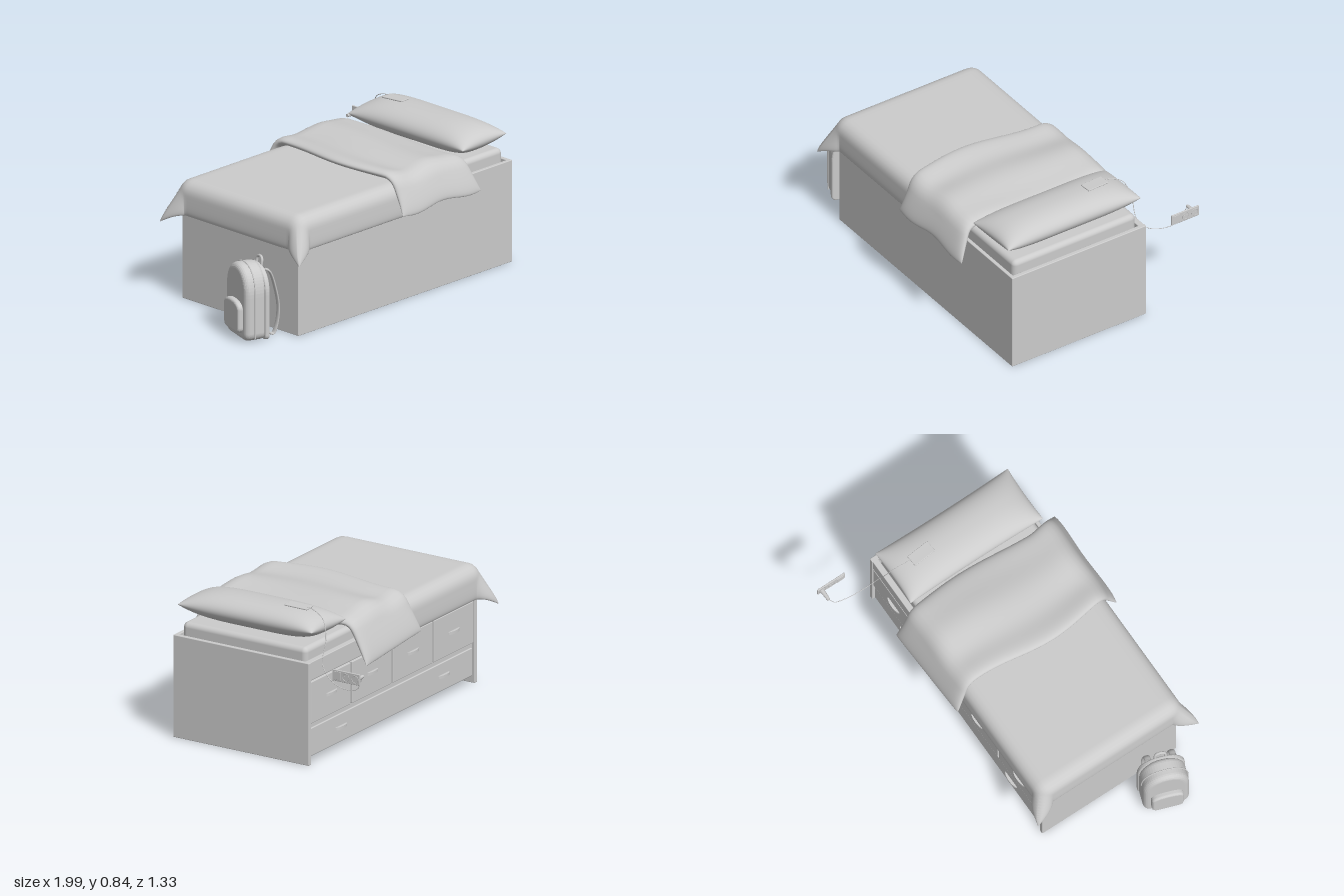
import * as THREE from 'three';
import { mergeVertices } from 'three/addons/utils/BufferGeometryUtils.js';
import { RoundedBoxGeometry } from 'three/addons/geometries/RoundedBoxGeometry.js';

const V = (x, y, z) => new THREE.Vector3(x, y, z);
const grey = new THREE.MeshStandardMaterial({ color: 0xcccccc, side: THREE.DoubleSide });

function add(parent, name, geometry, x = 0, y = 0, z = 0) {
  const mesh = new THREE.Mesh(geometry, grey);
  mesh.name = name;
  mesh.position.set(x, y, z);
  parent.add(mesh);
  return mesh;
}

// Box given by its limits, with slightly softened edges
function block(parent, name, [x0, x1], [y0, y1], [z0, z1], r = 0.004) {
  const g = new RoundedBoxGeometry(x1 - x0, y1 - y0, z1 - z0, 3, r);
  return add(parent, name, g, (x0 + x1) / 2, (y0 + y1) / 2, (z0 + z1) / 2);
}

function tube(parent, name, points, r, seg = 40) {
  return add(parent, name, new THREE.TubeGeometry(new THREE.CatmullRomCurve3(points), seg, r, 8));
}

// Closed padded sheet: a mid-surface f(u,v) pushed out both ways by half(u,v), zero at the border
function padded(f, half, n = 64) {
  const pos = [], idx = [], e = 0.002;
  const ease = i => 0.5 - 0.5 * Math.cos(Math.PI * i / n);
  for (const side of [1, -1]) {
    const base = pos.length / 3;
    for (let j = 0; j <= n; j++) for (let i = 0; i <= n; i++) {
      const u = ease(i), v = ease(j);
      const du = f(u + e, v).sub(f(u - e, v)), dv = f(u, v + e).sub(f(u, v - e));
      const border = i === 0 || j === 0 || i === n || j === n;
      const p = f(u, v).addScaledVector(dv.cross(du).normalize(), border ? 0 : side * half(u, v));
      pos.push(p.x, p.y, p.z);
      if (i < n && j < n) {
        const a = base + j * (n + 1) + i, b = a + 1, c = a + n + 1, d = c + 1;
        if (side > 0) idx.push(a, c, b, b, c, d);
        else idx.push(a, b, c, b, d, c);
      }
    }
  }
  let g = new THREE.BufferGeometry();
  g.setAttribute('position', new THREE.Float32BufferAttribute(pos, 3));
  g.setIndex(idx);
  g = mergeVertices(g, 1e-5);
  g.computeVertexNormals();
  return g;
}

const puff = (power, t) => (u, v) => t * Math.sqrt(
  Math.max(0, (1 - Math.abs(2 * u - 1) ** power) * (1 - Math.abs(2 * v - 1) ** power)));

// How far cloth of length L past an edge reaches out and drops
function drape(L, r, maxAngle) {
  const a = Math.min(L / r, maxAngle), rest = L - r * a;
  return [r * Math.sin(a) + rest * Math.cos(maxAngle), r * (1 - Math.cos(a)) + rest * Math.sin(maxAngle)];
}

// Bed cover, draped over the foot and both sides with flared corners
function bedCover(u, v) {
  const L = 0.215, x0 = -0.64, z0 = -0.285, z1 = 0.515;
  const sx = x0 - L + u * (0.3 - x0 + L), sz = z0 - L + v * (z1 - z0 + 2 * L);
  const du = Math.max(0, x0 - sx), dv = Math.max(0, z0 - sz, sz - z1);
  const len = Math.hypot(du, dv), k = len ? 2 * Math.min(du, dv) / (du + dv) : 0;
  const [out, drop] = drape(len, 0.06, THREE.MathUtils.degToRad(87 - 30 * k));
  const cx = Math.max(sx, x0), cz = THREE.MathUtils.clamp(sz, z0, z1);
  if (!len) return V(cx, 0.675, cz);
  return V(cx - out * du / len, 0.675 - drop, cz + Math.sign(sz - 0.1) * out * dv / len);
}

// Thick folded blanket across the middle, with wavy edges
function foldedBlanket(u, v) {
  const z0 = -0.27, z1 = 0.51, back = 0.27 + 0.04 * u, front = 0.25 + 0.012 * Math.sin(9 * u);
  const s = z0 - back + v * (z1 - z0 + back + front);
  const over = Math.max(0, z0 - s, s - z1);
  const [out, drop] = drape(over, 0.08, 1.13);
  const left = 0.015 - 0.025 * Math.sin(7 * s + 0.1), right = 0.59 + 0.018 * Math.cos(6 * s) + 0.05 * Math.max(0, s - 0.45) / 0.3;
  const ripple = 0.012 * Math.cos(u * 11) * (1 - u * 0.5) + 0.005 * Math.sin(6 * s + 4 * u) - 0.03 * u ** 10;
  return V(left + u * (right - left), 0.722 - drop + ripple * (over ? Math.max(0, 1 - over / 0.12) : 1),
    THREE.MathUtils.clamp(s, z0, z1) + Math.sign(s - 0.1) * out);
}

function buildFrame(bed) {
  block(bed, 'headPanel', [0.96, 0.985], [0, 0.59], [-0.33, 0.555]);
  block(bed, 'footPanel', [-0.685, -0.66], [0, 0.59], [-0.33, 0.555]);
  block(bed, 'sidePanel', [-0.68, 0.98], [0, 0.59], [0.533, 0.555]);
  block(bed, 'drawerCarcass', [-0.67, 0.97], [0.04, 0.59], [-0.312, -0.292]);
  block(bed, 'topRail', [-0.67, 0.97], [0.485, 0.59], [-0.327, -0.3]);
  block(bed, 'mattressBase', [-0.67, 0.97], [0.47, 0.49], [-0.31, 0.54]);
  block(bed, 'mattress', [-0.65, 0.95], [0.49, 0.66], [-0.29, 0.52], 0.03);

  // Bow-shaped pull
  const bow = new THREE.Shape();
  bow.moveTo(-0.055, 0);
  bow.bezierCurveTo(-0.045, 0.022, 0.045, 0.022, 0.055, 0);
  const pull = new THREE.ExtrudeGeometry(bow, { depth: 0.016, bevelEnabled: false, curveSegments: 16 });
  pull.rotateX(-Math.PI / 2);
  const handle = (x, y, z) => add(bed, 'drawerHandle', pull, x, y - 0.008, z);

  const w = 1.62 / 4;
  for (let i = 0; i < 4; i++) {
    const x = -0.66 + i * w;
    block(bed, 'upperDrawer', [x + 0.006, x + w - 0.006], [0.235, 0.475], [-0.327, -0.305]);
    handle(x + w / 2, 0.36, -0.327);
  }
  block(bed, 'lowerDrawer', [-0.652, 0.952], [0.045, 0.205], [-0.32, -0.3]);
  for (const x of [-0.37, 0.65]) handle(x, 0.13, -0.32);
}

function archShape(w, h, r) {
  const s = new THREE.Shape();
  s.moveTo(-w / 2, 0.02);
  s.lineTo(-w / 2, h - r);
  s.bezierCurveTo(-w / 2, h - r * 0.35, -w * 0.3, h, 0, h);
  s.bezierCurveTo(w * 0.3, h, w / 2, h - r * 0.35, w / 2, h - r);
  s.lineTo(w / 2, 0.02);
  s.quadraticCurveTo(w / 2, 0, w / 2 - 0.02, 0);
  s.lineTo(-w / 2 + 0.02, 0);
  s.quadraticCurveTo(-w / 2, 0, -w / 2, 0.02);
  return s;
}

function arch(parent, name, w, h, r, depth, bevel, y, z) {
  const g = new THREE.ExtrudeGeometry(archShape(w - 2 * bevel, h - 2 * bevel, r), {
    depth: depth - 2 * bevel, bevelThickness: bevel, bevelSize: bevel, bevelSegments: 5, curveSegments: 14 });
  return add(parent, name, g, 0, y + bevel, z + bevel);
}

// Backpack, its pocket facing local +z
function buildBackpack(root) {
  const bag = new THREE.Group();
  bag.name = 'backpack';
  arch(bag, 'bagBody', 0.26, 0.425, 0.14, 0.13, 0.03, 0.005, -0.06);
  arch(bag, 'bagBackPanel', 0.27, 0.41, 0.14, 0.03, 0.01, 0.005, -0.075);
  arch(bag, 'bagPocket', 0.18, 0.18, 0.03, 0.05, 0.014, 0.05, 0.05);
  const zip = archShape(0.262, 0.425, 0.15).getPoints(12).map(p => V(p.x, p.y + 0.005, 0.015)).slice(1, 27);
  tube(bag, 'bagZip', zip, 0.004, 60);
  for (const s of [-1, 1]) {
    const strap = tube(bag, 'shoulderStrap', [V(0, 0.4, -0.07), V(0, 0.38, -0.1), V(0, 0.28, -0.135),
      V(0, 0.16, -0.155), V(0, 0.05, -0.14), V(0, 0.015, -0.12), V(0, 0.05, -0.07)], 0.007);
    strap.scale.x = 2.6;
    strap.position.x = s * 0.07;
  }
  tube(bag, 'carryLoop', [V(-0.03, 0.39, -0.07), V(-0.025, 0.44, -0.078), V(0, 0.45, -0.08),
    V(0.025, 0.44, -0.078), V(0.03, 0.39, -0.07)], 0.008, 24);
  bag.position.set(-0.87, 0, 0.345);
  bag.rotation.y = Math.atan2(-0.94, -0.33);
  root.add(bag);
}

// Wall socket with plug, cable and phone
function buildCharger(root) {
  const group = new THREE.Group();
  group.name = 'charger';
  block(group, 'socketPlate', [0.988, 0.997], [0.53, 0.595], [-0.67, -0.49], 0.003);
  for (const z of [-0.58, -0.64]) {
    for (const x of [0.986, 0.998]) {
      const ring = add(group, 'socketRing', new THREE.TorusGeometry(0.021, 0.002, 6, 28), x, 0.5625, z);
      ring.rotation.y = Math.PI / 2;
      for (const d of [-0.008, 0.008])
        block(group, 'socketHole', [x - 0.001, x + 0.001], [0.559, 0.566], [z + d - 0.003, z + d + 0.003], 0.0005);
    }
  }
  block(group, 'socketSwitch', [0.984, 0.9985], [0.538, 0.587], [-0.545, -0.5], 0.002);
  const plug = add(group, 'plug', new THREE.CylinderGeometry(0.009, 0.014, 0.065, 16), 0.955, 0.56, -0.642);
  plug.rotation.z = Math.PI / 2;
  tube(group, 'cable', [V(0.78, 0.832, -0.19), V(0.785, 0.826, -0.23), V(0.8, 0.79, -0.3), V(0.825, 0.7, -0.338),
    V(0.87, 0.56, -0.345), V(0.89, 0.485, -0.41), V(0.905, 0.455, -0.52), V(0.915, 0.475, -0.6),
    V(0.92, 0.53, -0.628), V(0.925, 0.56, -0.642)], 0.002, 70);
  const phone = block(group, 'phone', [0.745, 0.815], [0.825, 0.833], [-0.2, -0.06], 0.003);
  phone.rotation.set(-0.04, 0.08, 0);
  root.add(group);
}

export function createModel() {
  const root = new THREE.Group();
  root.name = 'bedWithDrawers';
  const bed = new THREE.Group();
  bed.name = 'bed';
  root.add(bed);
  buildFrame(bed);
  add(bed, 'bedCover', padded(bedCover, puff(24, 0.015), 72));
  add(bed, 'foldedBlanket', padded(foldedBlanket, puff(10, 0.026)));

  // Pillow with slightly drawn-in sides
  const pillow = (u, v) => {
    const a = 2 * u - 1, b = 2 * v - 1;
    return V(0.773 + 0.171 * a * (0.96 + 0.04 * b * b), 0.745 + 0.008 * a, 0.115 + 0.437 * b * (0.985 + 0.015 * a * a));
  };
  const fill = (u, v) => 0.084 * Math.sqrt(Math.max(0, (1 - Math.abs(2 * u - 1) ** 2.2) * (1 - Math.abs(2 * v - 1) ** 4)));
  add(bed, 'pillow', padded(pillow, fill));

  buildBackpack(root);
  buildCharger(root);
  return root;
}
